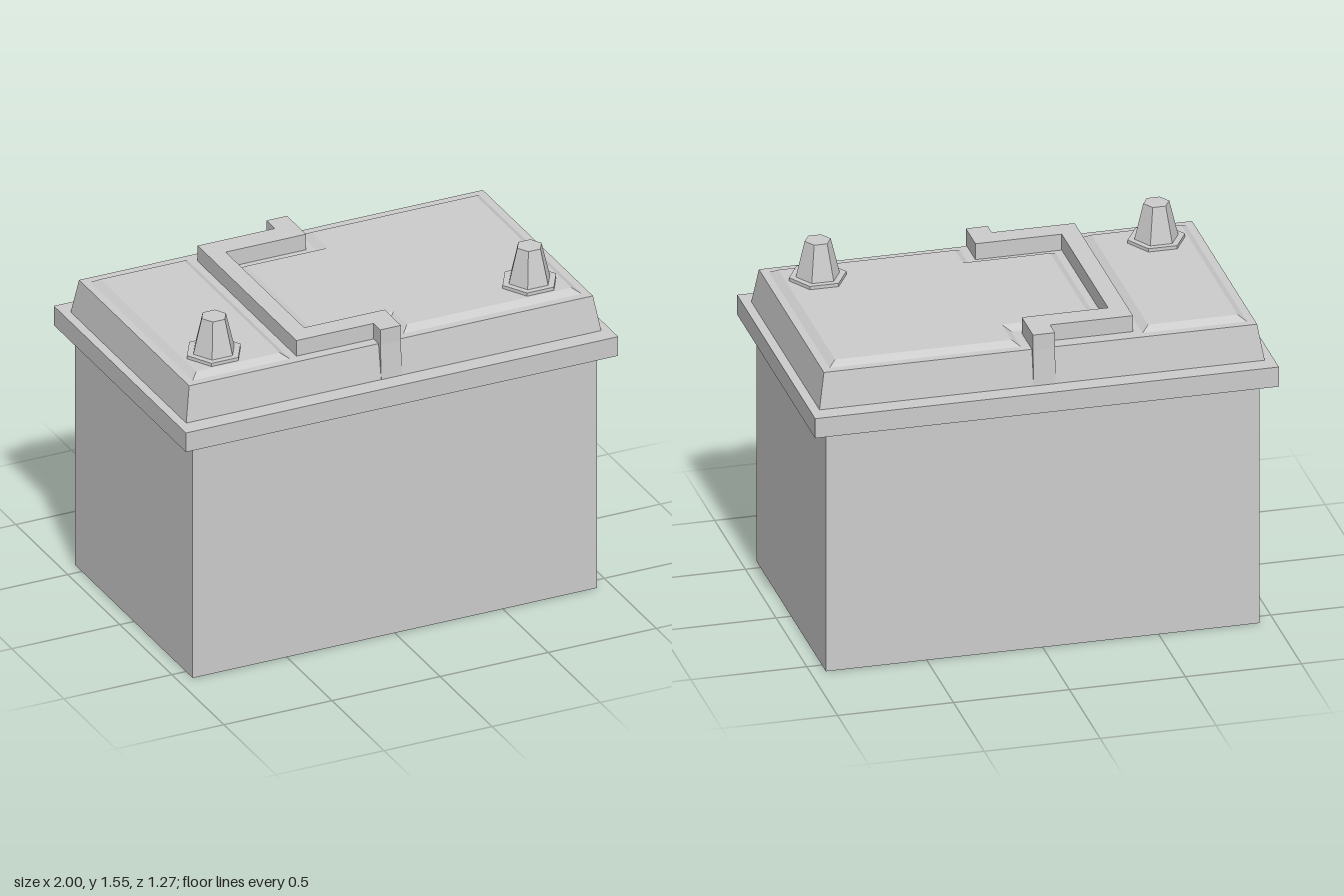
import * as THREE from 'three';

const material = new THREE.MeshStandardMaterial({ color: 0xcccccc, flatShading: true });

function add(parent, name, geometry, x = 0, y = 0, z = 0) {
  const mesh = new THREE.Mesh(geometry, material);
  mesh.name = name;
  mesh.position.set(x, y, z);
  parent.add(mesh);
  return mesh;
}

// Outlines are [x, z] points, clockwise seen from above in the x/-z plane.
const rect = (x0, z0, x1, z1) => [[x0, z0], [x0, z1], [x1, z1], [x1, z0]];

// Moves every edge of an outline inwards by d, with mitred corners.
function inset(points, d) {
  const n = points.length;
  const normal = (a, b) => {
    const dx = b[0] - a[0], dz = b[1] - a[1], l = Math.hypot(dx, dz);
    return [dz / l, -dx / l];
  };
  return points.map((p, i) => {
    const a = normal(points[(i + n - 1) % n], p);
    const b = normal(p, points[(i + 1) % n]);
    const k = d / (1 + a[0] * b[0] + a[1] * b[1]);
    return [p[0] + (a[0] + b[0]) * k, p[1] + (a[1] + b[1]) * k];
  });
}

// Prism whose top outline is inset, giving sloping sides and a flat cap.
function slopedPrism(outline, d, y0, y1) {
  const top = inset(outline, d), n = outline.length, positions = [];
  const lo = (i) => [outline[i % n][0], y0, outline[i % n][1]];
  const hi = (i) => [top[i % n][0], y1, top[i % n][1]];
  for (let i = 0; i < n; i++) {
    positions.push(...lo(i), ...lo(i + 1), ...hi(i + 1));
    positions.push(...lo(i), ...hi(i + 1), ...hi(i));
  }
  const flat = top.map(([x, z]) => new THREE.Vector2(x, -z));
  for (const [a, b, c] of THREE.ShapeUtils.triangulateShape(flat, [])) {
    positions.push(...hi(a), ...hi(b), ...hi(c));
  }
  const g = new THREE.BufferGeometry();
  g.setAttribute('position', new THREE.Float32BufferAttribute(positions, 3));
  g.computeVertexNormals();
  return g;
}

export function createModel() {
  const model = new THREE.Group();
  model.name = 'carBattery';

  // Case and overhanging rim
  add(model, 'case', new THREE.BoxGeometry(1.87, 1.15, 1.13), 0, 0.575, 0);
  add(model, 'rim', new THREE.BoxGeometry(2, 0.09, 1.27), 0, 1.155, 0);

  // Lid with sloping sides and two raised panels
  add(model, 'lid', slopedPrism(rect(-0.96, -0.555, 0.96, 0.555), 0.026, 1.2, 1.357));
  add(model, 'smallPanel', slopedPrism(rect(-0.9, -0.492, -0.45, 0.492), 0.032, 1.357, 1.378));
  const largePanel = [
    [-0.302, -0.335], [-0.302, 0.362], [0.075, 0.362], [0.075, 0.492],
    [0.9, 0.492], [0.9, -0.492], [0.075, -0.492], [0.075, -0.335],
  ];
  add(model, 'largePanel', slopedPrism(largePanel, 0.032, 1.357, 1.378));

  // Carrying handle: a C-shaped bar with a tab at each end
  const handle = new THREE.Group();
  handle.name = 'handle';
  model.add(handle);
  const bar = [
    [-0.415, -0.467], [-0.415, 0.482], [-0.058, 0.482], [-0.058, 0.547],
    [0.037, 0.547], [0.037, 0.39], [-0.335, 0.39], [-0.335, -0.364],
    [0.037, -0.364], [0.037, -0.547], [-0.058, -0.547], [-0.058, -0.467],
  ];
  add(handle, 'handleBar', slopedPrism(bar, 0, 1.35, 1.43));
  for (const side of [1, -1]) {
    const tab = new THREE.BoxGeometry(0.095, 0.16, 0.087);
    // The foot of the tab flares slightly to meet the base of the lid
    const p = tab.attributes.position;
    for (let i = 0; i < p.count; i++) {
      if (p.getY(i) < 0 && p.getZ(i) * side > 0) p.setZ(i, p.getZ(i) + 0.009 * side);
    }
    tab.computeVertexNormals();
    add(handle, 'handleTab', tab, -0.0105, 1.28, side * 0.5035);
  }

  // Hexagonal terminals
  for (const side of [1, -1]) {
    const terminal = new THREE.Group();
    terminal.name = side > 0 ? 'leftTerminal' : 'rightTerminal';
    terminal.position.set(side * 0.73, 0, 0.342);
    model.add(terminal);
    const flange = new THREE.CylinderGeometry(0.124, 0.124, 0.036, 6);
    const post = new THREE.CylinderGeometry(0.056, 0.095, 0.16, 6);
    add(terminal, 'flange', flange.rotateY(Math.PI / 6), 0, 1.375, 0);
    add(terminal, 'post', post.rotateY(Math.PI / 6), 0, 1.472, 0);
  }

  return model;
}
